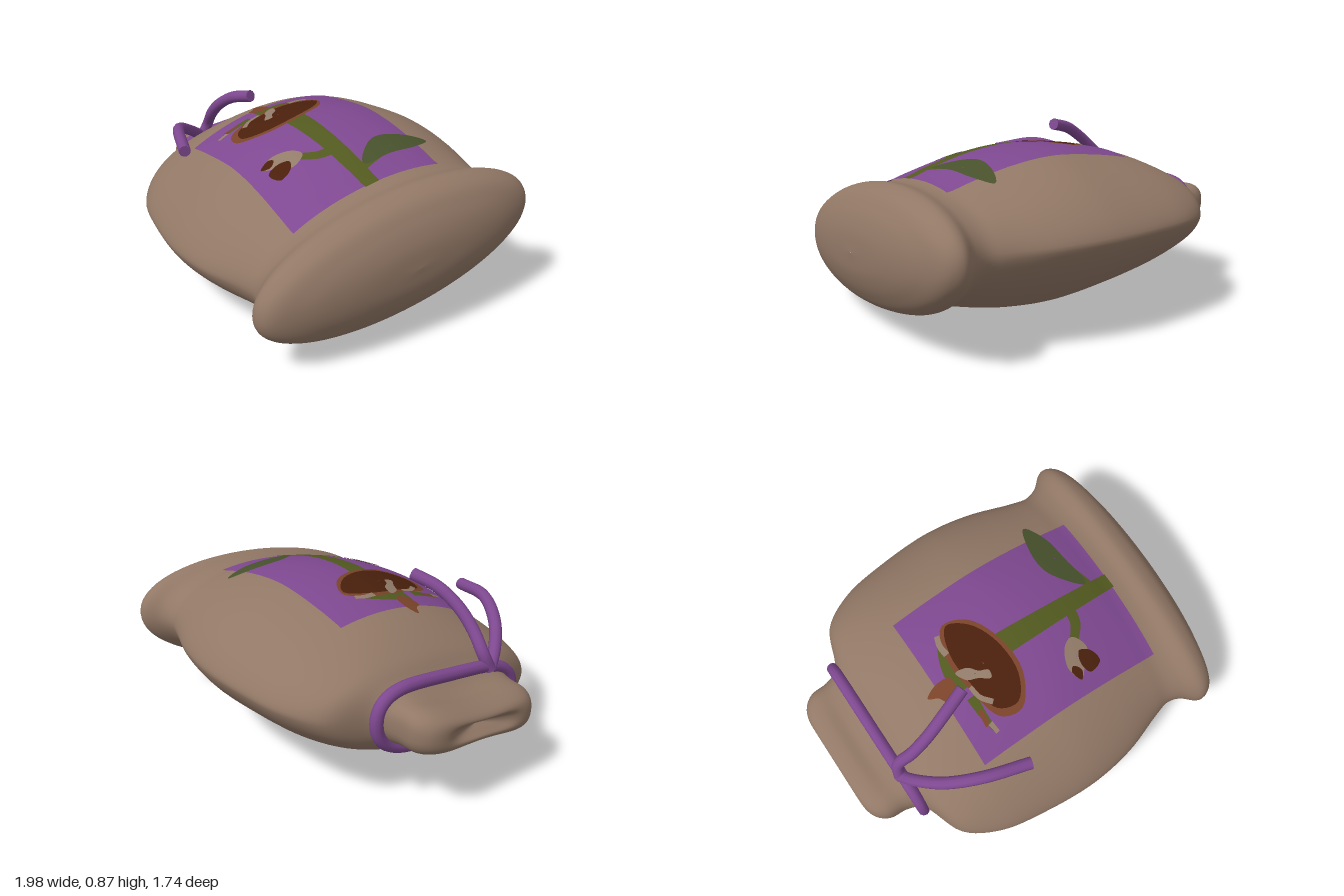
import * as THREE from 'three';

const mat = (name, color, side = THREE.FrontSide) => {
  const m = new THREE.MeshStandardMaterial({ color, side });
  m.name = name;
  return m;
};

// Sack cross-sections along its length: [position, half width, half height, roundness, middle pinch]
const ROWS = [
  [-0.925, 0.001, 0.001, 0.9, 0.4],
  [-0.96, 0.13, 0.035, 0.9, 0.4],
  [-0.985, 0.22, 0.075, 0.85, 0.45],
  [-0.965, 0.3, 0.135, 0.8, 0.5],
  [-0.91, 0.345, 0.175, 0.75, 0.5],
  [-0.82, 0.355, 0.19, 0.75, 0.5],
  [-0.75, 0.39, 0.21, 0.9, 0.35],
  [-0.66, 0.59, 0.25, 1.15, 0.1],
  [-0.5, 0.69, 0.31, 1.45, 0],
  [-0.28, 0.735, 0.365, 1.6, 0],
  [0, 0.755, 0.396, 1.6, 0],
  [0.24, 0.725, 0.375, 1.55, 0],
  [0.46, 0.655, 0.32, 1.25, 0],
  [0.55, 0.635, 0.29, 1.1, 0],
  [0.62, 0.655, 0.283, 1, 0],
  [0.7, 0.715, 0.295, 0.95, 0],
  [0.765, 0.69, 0.268, 0.95, 0],
  [0.82, 0.55, 0.2, 0.95, 0],
  [0.857, 0.32, 0.11, 0.95, 0],
  [0.87, 0.001, 0.001, 0.95, 0],
];
const sizeCurve = new THREE.CatmullRomCurve3(ROWS.map((r) => new THREE.Vector3(r[0], r[1], r[2])));
const shapeCurve = new THREE.CatmullRomCurve3(ROWS.map((r) => new THREE.Vector3(r[3], r[4], 0)));

// The sack lies turned about the vertical and rolled to one side
const C = 0.937, S = 0.35, MID = -0.06;
const toWorld = (s, y, t) => new THREE.Vector3(C * s - S * t, y + 0.403 - 0.135 * (t - MID), S * s + C * t);

// Point on the sack: u along its length, a around it
function skin(u, a, grow = 0) {
  const size = sizeCurve.getPoint(u), shape = shapeCurve.getPoint(u);
  const sn = Math.sin(a), k = Math.abs(sn);
  const bulge = 0.25 * k + 0.75 * Math.pow(k, shape.x);
  const y = Math.sign(sn) * (size.z * bulge * (1 - shape.y * k * k) + grow * k);
  return toWorld(size.x, y, MID + (size.y + grow) * Math.cos(a));
}

// Point on the upper surface at plan position (x, z)
function drape(x, z, lift) {
  const s = C * x + S * z, t = -S * x + C * z;
  let lo = 0.2, hi = 0.8;
  for (let i = 0; i < 24; i++) {
    const m = (lo + hi) / 2;
    if (sizeCurve.getPoint(m).x < s) lo = m; else hi = m;
  }
  const q = THREE.MathUtils.clamp((t - MID) / sizeCurve.getPoint(lo).y, -1, 1);
  const p = skin(lo, Math.acos(q));
  p.y += lift;
  return p;
}

// Surface from a grid of points
function grid(rows, cols, point, wrap = false) {
  const pos = [], index = [], n = wrap ? cols : cols + 1;
  for (let i = 0; i <= rows; i++)
    for (let j = 0; j < n; j++) pos.push(...point(i / rows, j / cols).toArray());
  for (let i = 0; i < rows; i++)
    for (let j = 0; j < cols; j++) {
      const a = i * n + j, b = i * n + ((j + 1) % n), c = a + n, d = b + n;
      index.push(a, b, c, b, d, c);
    }
  const g = new THREE.BufferGeometry();
  g.setAttribute('position', new THREE.Float32BufferAttribute(pos, 3));
  g.setIndex(index);
  g.computeVertexNormals();
  return g;
}

export function createModel() {
  const model = new THREE.Group();
  model.name = 'sack';
  const cloth = mat('burlap', 0x927866);
  const purple = mat('purple', 0x7e4890, THREE.DoubleSide);
  const brown = mat('dark brown', 0x4a200c, THREE.DoubleSide);
  const rust = mat('rust', 0x7a4329, THREE.DoubleSide);
  const olive = mat('olive', 0x525a1f, THREE.DoubleSide);
  const green = mat('leaf green', 0x48522c, THREE.DoubleSide);
  const beige = mat('beige', 0x927b69, THREE.DoubleSide);
  const add = (name, geometry, material, parent = model) => {
    const m = new THREE.Mesh(geometry, material);
    m.name = name;
    parent.add(m);
    return m;
  };

  // Stuffed bag with gathered neck and bulging hem
  add('bag', grid(114, 80, (u, v) => skin(u, -v * Math.PI * 2), true), cloth);

  // Painted panel
  const panel = new THREE.Group();
  panel.name = 'paintedPanel';
  model.add(panel);
  add('panel', grid(36, 30, (u, v) => {
    const s = -0.42 + 0.98 * u, t = 0.38 - 0.76 * v;
    return drape(C * s - S * t, S * s + C * t, 0.004);
  }), purple, panel);

  // Flat painted shapes laid over the panel
  const blob = (name, material, lift, pts) => {
    const curve = new THREE.CatmullRomCurve3(pts.map(([x, z]) => new THREE.Vector3(x, 0, z)), true);
    const mid = new THREE.Vector3();
    pts.forEach(([x, z]) => mid.add(new THREE.Vector3(x, 0, z)));
    mid.divideScalar(pts.length);
    add(name, grid(8, 40, (u, v) => {
      const p = mid.clone().lerp(curve.getPoint(v), 0.02 + 0.98 * u);
      return drape(p.x, p.z, lift);
    }), material, panel);
  };
  const ribbon = (name, material, lift, w0, w1, pts) => {
    const curve = new THREE.CatmullRomCurve3(pts.map(([x, z]) => new THREE.Vector3(x, 0, z)));
    add(name, grid(24, 4, (u, v) => {
      const p = curve.getPoint(u), d = curve.getTangent(u);
      const k = (0.5 - v) * (w0 + (w1 - w0) * u);
      return drape(p.x - d.z * k, p.z + d.x * k, lift);
    }), material, panel);
  };

  ribbon('stem', olive, 0.006, 0.11, 0.075, [[-0.08, -0.03], [0.1, 0.04], [0.3, 0.11], [0.535, 0.185]]);
  ribbon('budStem', olive, 0.006, 0.06, 0.04, [[0.28, 0.1], [0.24, 0.18], [0.16, 0.23]]);
  ribbon('leafStem', olive, 0.006, 0.05, 0.02, [[0.44, 0.14], [0.45, 0.08], [0.46, -0.04]]);
  blob('leaf', green, 0.007, [[0.43, 0.11], [0.36, -0.06], [0.4, -0.18], [0.51, -0.3], [0.52, -0.18], [0.48, -0.03], [0.45, 0.1]]);
  ribbon('upperSepal', olive, 0.006, 0.04, 0.09, [[-0.21, -0.26], [-0.28, -0.17], [-0.33, -0.05]]);
  ribbon('lowerSepal', olive, 0.006, 0.05, 0.02, [[-0.33, 0.0], [-0.36, 0.08], [-0.38, 0.16]]);
  ribbon('sepalEdge', rust, 0.007, 0.02, 0.025, [[-0.355, 0.06], [-0.385, 0.13]]);
  ribbon('sepalTip', beige, 0.007, 0.025, 0.02, [[-0.37, 0.13], [-0.38, 0.18]]);
  blob('sidePetal', rust, 0.007, [[-0.45, -0.16], [-0.38, -0.165], [-0.32, -0.13], [-0.34, -0.08], [-0.41, -0.08], [-0.42, -0.12]]);
  blob('flowerRim', rust, 0.007, [[-0.15, -0.3], [-0.06, -0.22], [-0.045, -0.05], [-0.1, 0.12], [-0.23, 0.21], [-0.32, 0.15], [-0.31, -0.02], [-0.26, -0.19]]);
  blob('flowerHeart', brown, 0.008, [[-0.14, -0.285], [-0.075, -0.2], [-0.065, -0.05], [-0.12, 0.11], [-0.22, 0.18], [-0.3, 0.12], [-0.29, -0.02], [-0.235, -0.19]]);
  blob('flowerFleck', beige, 0.009, [[-0.29, -0.12], [-0.24, -0.09], [-0.22, -0.04], [-0.19, -0.005], [-0.21, 0.025], [-0.25, -0.025], [-0.285, -0.06]]);
  ribbon('flowerTipFleck', beige, 0.009, 0.025, 0.03, [[-0.2, -0.29], [-0.23, -0.25], [-0.245, -0.2]]);
  ribbon('flowerEdgeFleck', beige, 0.009, 0.02, 0.025, [[-0.3, -0.03], [-0.31, 0.03], [-0.29, 0.09]]);
  blob('bud', beige, 0.007, [[0.04, 0.28], [0.11, 0.21], [0.17, 0.21], [0.18, 0.29], [0.12, 0.32], [0.05, 0.35]]);
  blob('budHeart', brown, 0.008, [[0.1, 0.31], [0.14, 0.27], [0.18, 0.31], [0.175, 0.37], [0.1, 0.365]]);
  blob('budSpot', brown, 0.008, [[0.04, 0.3], [0.065, 0.29], [0.08, 0.33], [0.045, 0.355]]);

  // Cord tied round the neck, with two loose ends
  const cord = new THREE.Group();
  cord.name = 'cord';
  model.add(cord);
  const R = 0.029;
  const loop = Array.from({ length: 24 }, (_, i) => skin(6 / 19 - 0.004, (i / 24) * Math.PI * 2, 0.015));
  add('neckLoop', new THREE.TubeGeometry(new THREE.CatmullRomCurve3(loop, true), 80, R, 10, true), purple, cord);
  const tails = {
    upperTail: [[-0.78, 0.5, -0.1], [-0.75, 0.58, -0.12], [-0.68, 0.66, -0.08], [-0.59, 0.74, -0.05], [-0.48, 0.805, -0.035], [-0.35, 0.84, -0.03]],
    lowerTail: [[-0.78, 0.5, -0.1], [-0.76, 0.56, -0.01], [-0.7, 0.63, 0.12], [-0.59, 0.68, 0.25], [-0.41, 0.66, 0.385]],
  };
  for (const [name, pts] of Object.entries(tails)) {
    const curve = new THREE.CatmullRomCurve3(pts.map((p) => new THREE.Vector3(...p)));
    add(name, new THREE.TubeGeometry(curve, 30, R, 10), purple, cord);
    for (const u of [0, 1]) {
      const cap = add(name + 'Cap', new THREE.CircleGeometry(R, 10), purple, cord);
      cap.position.copy(curve.getPoint(u));
      cap.lookAt(cap.position.clone().addScaledVector(curve.getTangent(u), u ? 1 : -1));
    }
  }

  return model;
}
